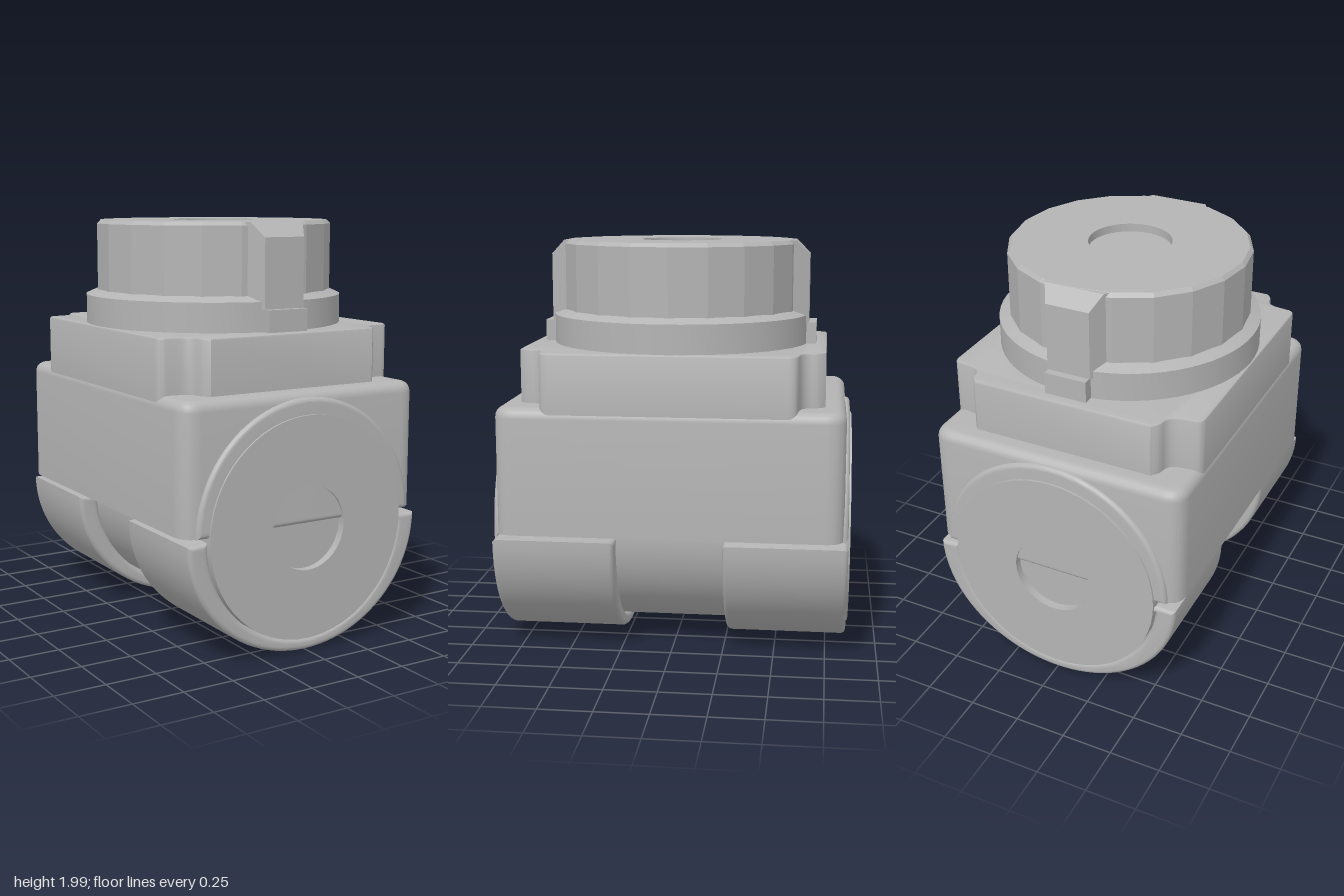
import * as THREE from 'three';
import { toCreasedNormals } from 'three/addons/utils/BufferGeometryUtils.js';

const grey = new THREE.MeshStandardMaterial({ color: 0xb4b4b4 });
grey.name = 'cast grey';

export function createModel() {
  const model = new THREE.Group();

  const add = (name, geo, crease = 0.5) => {
    const mesh = new THREE.Mesh(toCreasedNormals(geo, crease), grey);
    mesh.name = name;
    model.add(mesh);
    return mesh;
  };

  // Extrusion with a rounded edge that stays inside the drawn outline
  const extrude = (shape, depth, bevel, segments = 5) => new THREE.ExtrudeGeometry(shape, {
    depth: depth - 2 * bevel, bevelEnabled: true, bevelSize: bevel, bevelThickness: bevel,
    bevelOffset: -bevel, bevelSegments: segments, curveSegments: 24,
  }).translate(0, 0, bevel);

  // Upright extrusion from y0 to y1, rounded at the top and square at the bottom
  const extrudeUp = (shape, y0, y1, bevel, segments) => {
    const geo = extrude(shape, y1 - y0 + bevel, bevel, segments)
      .rotateX(-Math.PI / 2).translate(0, y0 - bevel, 0);
    const p = geo.attributes.position;
    for (let i = 0; i < p.count; i++) p.setY(i, Math.max(p.getY(i), y0));
    return geo;
  };

  // Main housing: rounded rectangle
  const w = 0.65, d = 0.83, r = 0.1;
  const plan = new THREE.Shape();
  plan.moveTo(-w + r, -d);
  plan.lineTo(w - r, -d);
  plan.quadraticCurveTo(w, -d, w, -d + r);
  plan.lineTo(w, d - r);
  plan.quadraticCurveTo(w, d, w - r, d);
  plan.lineTo(-w + r, d);
  plan.quadraticCurveTo(-w, d, -w, d - r);
  plan.lineTo(-w, -d + r);
  plan.quadraticCurveTo(-w, -d, -w + r, -d);
  add('housing', extrudeUp(plan, 0.62, 1.235, 0.05));

  // Upper block: rectangle with softly notched corners
  const corner = new THREE.Path();
  corner.moveTo(0.645, 0.56);
  corner.quadraticCurveTo(0.645, 0.605, 0.6, 0.605);
  corner.lineTo(0.56, 0.61);
  corner.quadraticCurveTo(0.49, 0.615, 0.485, 0.67);
  corner.quadraticCurveTo(0.485, 0.7, 0.45, 0.73);
  const q = corner.getPoints(6);
  const flip = (sx, sz) => q.map(v => new THREE.Vector2(v.x * sx, v.y * sz));
  const notched = new THREE.Shape([
    ...flip(1, 1), ...flip(-1, 1).reverse(), ...flip(-1, -1), ...flip(1, -1).reverse(),
  ]);
  add('upperBlock', extrudeUp(notched, 1.2, 1.495, 0.01, 2));

  // Cross cylinder with a shallow round recess in each end
  const barrel = [[0, -0.82], [0.2, -0.82], [0.2, -0.86], [0.532, -0.86],
    [0.532, 0.86], [0.2, 0.86], [0.2, 0.82], [0, 0.82]];
  add('crossCylinder', new THREE.LatheGeometry(barrel.map(p => new THREE.Vector2(...p)), 64)
    .rotateX(Math.PI / 2).translate(0, 0.6, 0));

  // Half-round rims on the housing and lower shells around the cylinder ends
  const rimShape = new THREE.Shape();
  rimShape.absarc(0, 0, 0.59, 0, Math.PI, false);
  const shellShape = new THREE.Shape();
  shellShape.absellipse(0, 0, 0.637, 0.585, Math.PI, Math.PI * 2, false, 0);
  shellShape.lineTo(0.537, 0);
  shellShape.absellipse(0, 0.01, 0.537, 0.537, Math.PI * 2, Math.PI, true, 0);
  for (const side of [1, -1]) {
    const end = side > 0 ? 'front' : 'back';
    const turn = side > 0 ? 0 : Math.PI;
    add(end + 'Rim', extrude(rimShape, 0.15, 0.022).translate(0, 0.62, 0.7).rotateY(turn));
    add(end + 'LowerShell', extrude(shellShape, 0.59, 0.022).translate(0, 0.592, 0.26).rotateY(turn));

    // Grip rib, widening towards the knob
    const rib = new THREE.Shape([[0.45, 1.6], [0.64, 1.6], [0.64, 1.93], [0.57, 1.999], [0.45, 1.999]]
      .map(p => new THREE.Vector2(...p)));
    const ribGeo = new THREE.ExtrudeGeometry(rib, { depth: 2, bevelEnabled: false })
      .translate(0, 0, -1).rotateY(-Math.PI / 2);
    const p = ribGeo.attributes.position;
    for (let i = 0; i < p.count; i++) {
      p.setX(i, p.getX(i) * (0.108 + (0.64 - p.getZ(i)) * 0.55));
    }
    add(end + 'GripRib', ribGeo.rotateY(turn), 0.2);

    // Small locating tab on the collar
    add(end + 'Tab', new THREE.BoxGeometry(0.21, 0.11, 0.1).translate(0, 1.545, 0.627 * side), 0.2);
  }

  // Collar with a sloped top
  const collar = [[0, 1.48], [0.637, 1.48], [0.637, 1.635], [0.58, 1.66], [0, 1.66]];
  add('collar', new THREE.LatheGeometry(collar.map(p => new THREE.Vector2(...p)), 64), 0.4);

  // Knob: many-sided wall, chamfered edge, round recess on top
  const knob = [[0.585, 1.62], [0.585, 1.982], [0.568, 2], [0.2, 2], [0.2, 1.96], [0, 1.96]];
  const sides = 20, step = Math.PI * 2 / sides;
  const knobGeo = new THREE.LatheGeometry(knob.map(p => new THREE.Vector2(...p)), sides * 4);
  const k = knobGeo.attributes.position;
  for (let i = 0; i < k.count; i++) {
    const x = k.getX(i), z = k.getZ(i);
    if (Math.hypot(x, z) < 0.5) continue;
    const a = Math.atan2(z, x) + Math.PI * 2 + 1e-6;
    const f = Math.cos(step / 2) / Math.cos((a % step) - step / 2);
    k.setX(i, x * f);
    k.setZ(i, z * f);
  }
  add('knob', knobGeo, 0.2);

  return model;
}
